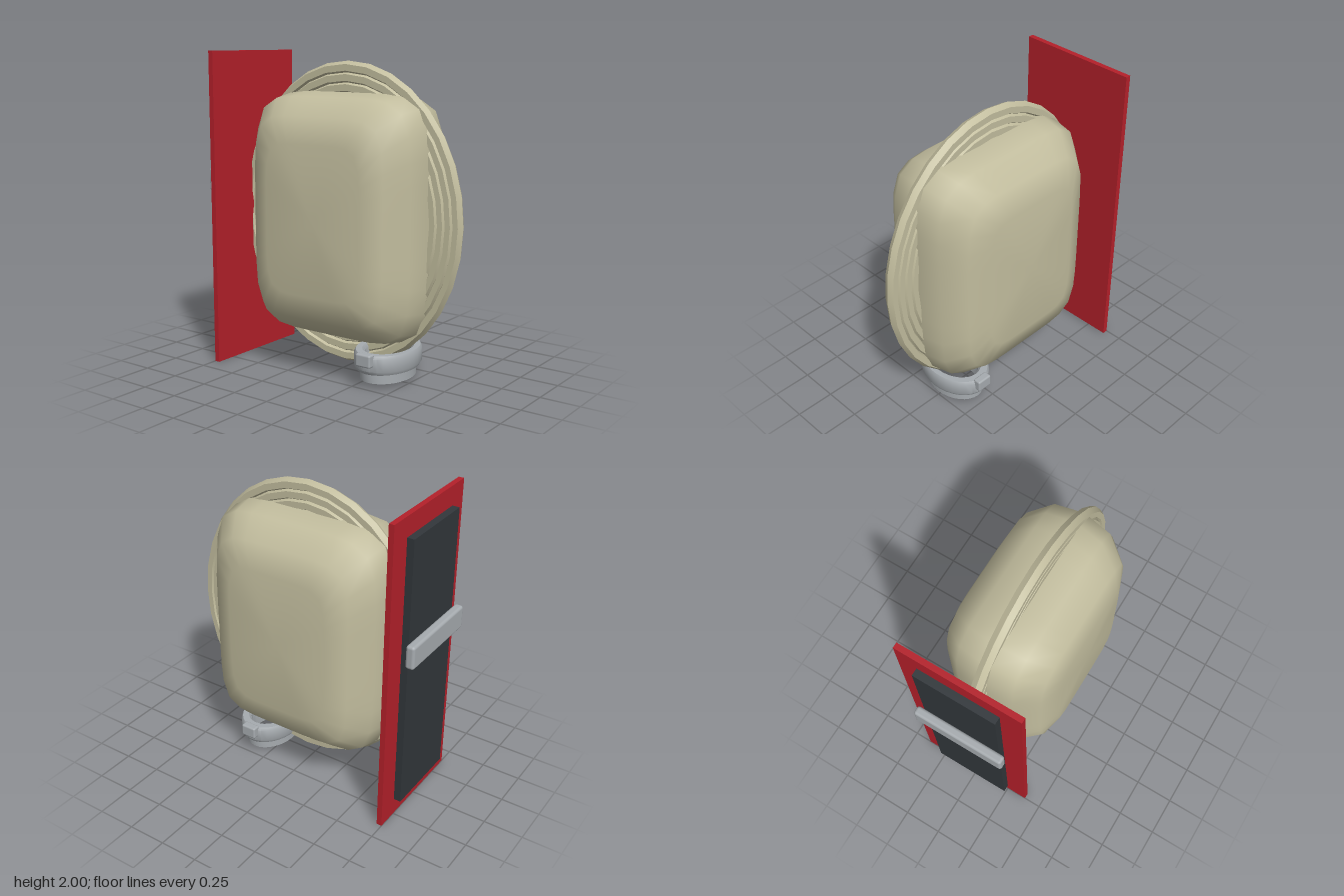
import * as THREE from 'three';
import { toCreasedNormals } from 'three/addons/utils/BufferGeometryUtils.js';
import { RoundedBoxGeometry } from 'three/addons/geometries/RoundedBoxGeometry.js';

const material = (color) => new THREE.MeshStandardMaterial({ color, side: THREE.DoubleSide });

// Boxy pod: rounded-rectangle cross-sections stacked along x
function podGeometry() {
  const layers = [ // x, half height, half depth
    [-0.37, 0, 0], [-0.37, 0.46, 0.345], [-0.32, 0.62, 0.475], [-0.185, 0.73, 0.575], [0, 0.76, 0.605],
    [0.185, 0.73, 0.575], [0.32, 0.62, 0.475], [0.37, 0.46, 0.345], [0.37, 0, 0],
  ];
  const n = 40, power = 6, positions = [], index = [];
  layers.forEach(([x, h, d], i) => {
    for (let j = 0; j < n; j++) {
      const a = (j / n) * Math.PI * 2, c = Math.cos(a), s = Math.sin(a);
      const r = (Math.abs(c) ** power + Math.abs(s) ** power) ** (-1 / power);
      positions.push(x, h * r * c, d * r * s);
      if (i < layers.length - 1) {
        const k = (j + 1) % n, a0 = i * n + j, b0 = i * n + k;
        index.push(a0, b0, a0 + n, b0, b0 + n, a0 + n);
      }
    }
  });
  const g = new THREE.BufferGeometry();
  g.setAttribute('position', new THREE.Float32BufferAttribute(positions, 3));
  g.setIndex(index);
  g.computeVertexNormals();
  return g;
}

export function createModel() {
  const model = new THREE.Group();
  const shell = material(0xc2bd9e), red = material(0xb4202a);
  const dark = material(0x32373b), metal = material(0xa6abaf);

  const add = (name, geometry, mat, x, y, z, parent = model) => {
    const mesh = new THREE.Mesh(geometry, mat);
    mesh.name = name;
    mesh.position.set(x, y, z);
    parent.add(mesh);
    return mesh;
  };

  add('podBody', podGeometry(), shell, 0, 1, 0.035);

  // Nested oval ribs round the middle of the pod
  const ribs = new THREE.Group();
  ribs.name = 'ribs';
  model.add(ribs);
  for (let i = 0; i < 4; i++) {
    const g = new THREE.TorusGeometry(0.902 - i * 0.06, 0.04, 6, 32);
    g.rotateY(Math.PI / 2);
    g.scale(1, 1, 0.865);
    add('rib', toCreasedNormals(g, 0.6), shell, 0, 1.001, 0.04, ribs);
  }

  // Back plate, inner panel and rounded latch bar
  add('backPlate', new THREE.BoxGeometry(0.775, 2, 0.034), red, 0, 1, -0.733);
  add('backPanel', new THREE.BoxGeometry(0.51, 1.76, 0.045), dark, 0, 1, -0.777);
  add('latchBar', new RoundedBoxGeometry(0.594, 0.15, 0.057, 2, 0.018), metal, 0, 1.18, -0.8285);

  // Oval hose coupling under the pod
  const coupling = new THREE.Group();
  coupling.name = 'coupling';
  coupling.position.z = 0.347;
  model.add(coupling);
  const profile = [
    [0.175, 0.03], [0.212, 0.03], [0.212, 0.085], [0.24, 0.093], [0.255, 0.115], [0.255, 0.195],
    [0.243, 0.213], [0.195, 0.213], [0.175, 0.19], [0.175, 0.03],
  ].map(([r, y]) => new THREE.Vector2(r, y));
  const ring = new THREE.LatheGeometry(profile, 32);
  ring.scale(1, 1, 0.73);
  add('couplingRing', toCreasedNormals(ring, 0.6), metal, 0, 0, 0, coupling);
  for (const side of [-1, 1]) {
    add('couplingLug', new RoundedBoxGeometry(0.055, 0.08, 0.105, 2, 0.012), metal, side * 0.254, 0.185, 0, coupling);
  }

  return model;
}
